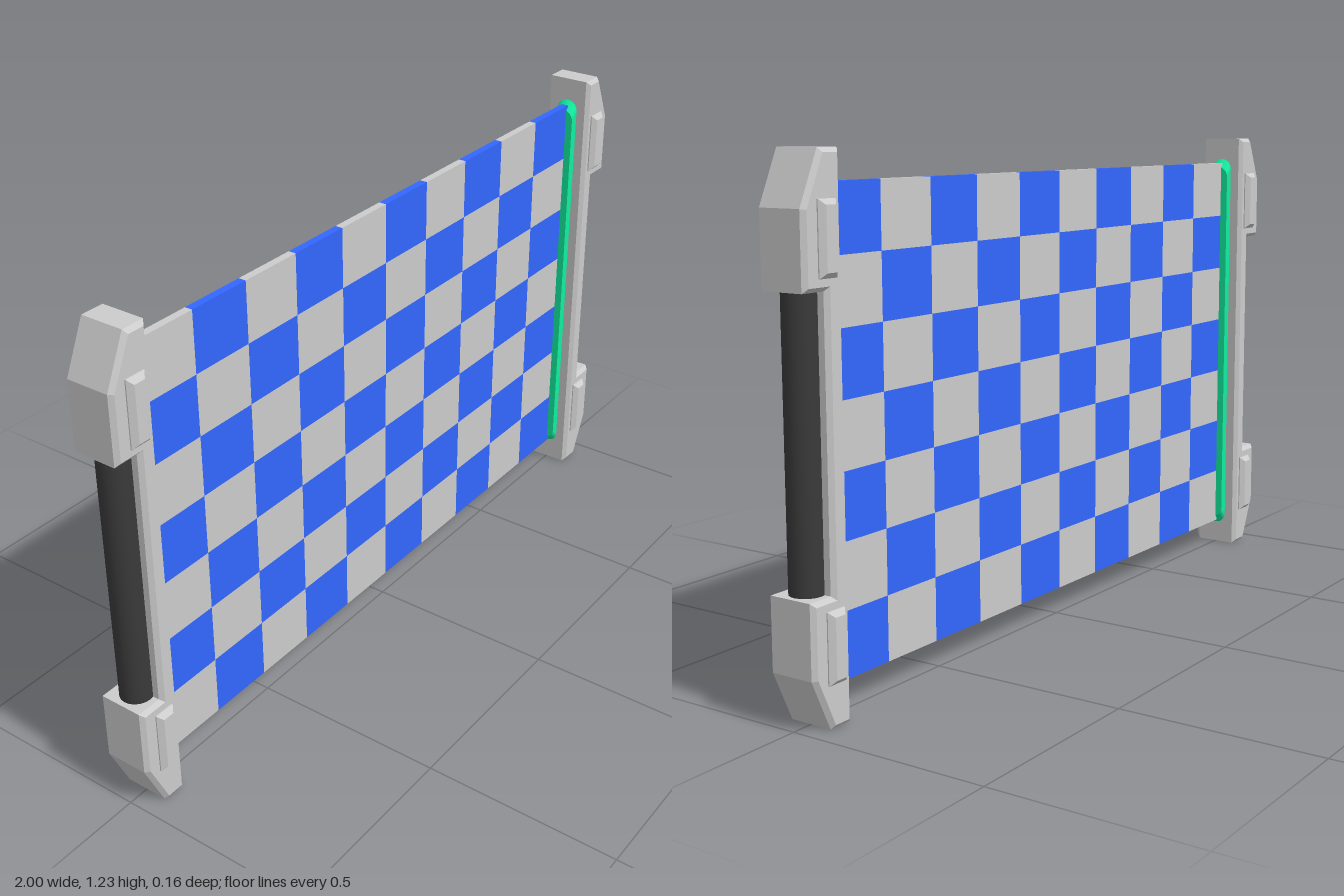
import * as THREE from 'three';
import { mergeGeometries } from 'three/addons/utils/BufferGeometryUtils.js';

const grey = new THREE.MeshStandardMaterial({ color: 0xcccccc });
const blue = new THREE.MeshStandardMaterial({ color: 0x3366ff });
const green = new THREE.MeshStandardMaterial({ color: 0x11eea0 });
const dark = new THREE.MeshStandardMaterial({ color: 0x3a3a3a });

const MID = 0.613; // height of the model's centre line

function part(name, geometry, material) {
  const mesh = new THREE.Mesh(geometry, material);
  mesh.name = name;
  return mesh;
}

// Closed outline extruded along z, centred, with chamfered edges inside the outline
function chamferedPlate(points, depth, chamfer) {
  const shape = new THREE.Shape(points.map(([x, y]) => new THREE.Vector2(x, y)));
  const geometry = new THREE.ExtrudeGeometry(shape, {
    depth: depth - 2 * chamfer, bevelEnabled: true, bevelSegments: 1,
    bevelSize: chamfer, bevelThickness: chamfer, bevelOffset: -chamfer,
  });
  return geometry.translate(0, 0, chamfer - depth / 2);
}

// Checkered sheet, cells merged by colour
function makePanel() {
  const columns = 10, rows = 7, w = 1.74 / columns, h = 1.085 / rows;
  const cells = [[], []];
  for (let r = 0; r < rows; r++) {
    for (let c = 0; c < columns; c++) {
      const cell = new THREE.BoxGeometry(w, h, 0.02);
      cell.translate((c + 0.5) * w - 0.87, 0.07 + (r + 0.5) * h, 0);
      cells[(r + c) % 2].push(cell);
    }
  }
  const panel = new THREE.Group();
  panel.name = 'checkeredPanel';
  panel.add(part('greyCells', mergeGeometries(cells[0]), grey));
  panel.add(part('blueCells', mergeGeometries(cells[1]), blue));
  return panel;
}

// Glowing strip: round-ended slot shape whose ends slope in toward the panel
function makeStrip() {
  const half = 0.57, r = 0.03, depth = 0.04;
  const shape = new THREE.Shape();
  shape.absarc(0, half - r, r, 0, Math.PI);
  shape.absarc(0, r - half, r, Math.PI, 2 * Math.PI);
  const geometry = new THREE.ExtrudeGeometry(shape, { depth, bevelEnabled: false, curveSegments: 12 });
  const p = geometry.attributes.position;
  for (let i = 0; i < p.count; i++) {
    if (p.getZ(i) > depth / 2) p.setY(i, p.getY(i) * 0.93);
  }
  geometry.computeVertexNormals();
  geometry.rotateY(-Math.PI / 2).translate(0.902, MID, 0);
  return part('lightStrip', geometry, green);
}

// One end: bracket with two caps, grip bar, four clips and the light strip
function makeEnd(name) {
  const end = new THREE.Group();
  end.name = name;

  const upper = [[0.935, 0.935], [1, 0.935], [1, 1.105], [0.945, 1.226], [0.885, 1.226]];
  const lower = upper.map(([x, y]) => [x, 2 * MID - y]).reverse();
  end.add(part('bracket', chamferedPlate([...lower, ...upper], 0.13, 0.01), grey));

  const grip = part('grip', new THREE.CylinderGeometry(0.04, 0.04, 0.68, 20), dark);
  grip.position.set(0.947, MID, 0);
  end.add(grip);

  // Each clip runs through the cap and shows on both faces
  const a = 0.027, b = 0.081;
  for (const side of [-1, 1]) {
    const outline = [[-a, -b], [a, -b], [a, b], [-a, b]];
    const clip = part('clip', chamferedPlate(outline, 0.16, 0.012), grey);
    clip.position.set(0.933, MID + side * 0.43, 0);
    end.add(clip);
  }

  end.add(makeStrip());
  return end;
}

export function createModel() {
  const model = new THREE.Group();
  model.name = 'checkeredBarrier';
  const left = makeEnd('leftEnd');
  const right = makeEnd('rightEnd');
  right.rotation.y = Math.PI;
  model.add(makePanel(), left, right);
  return model;
}
